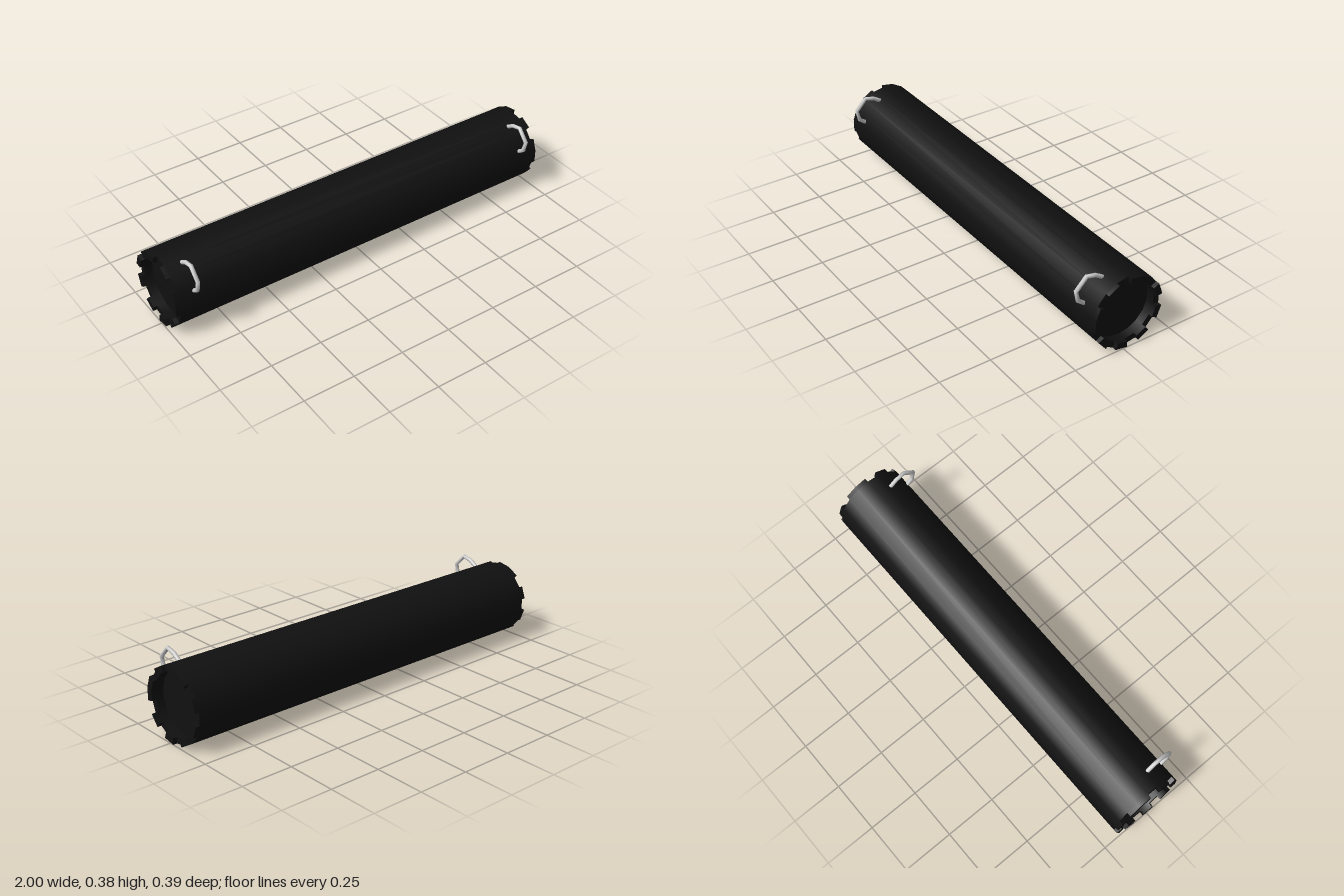
import * as THREE from 'three';

const R = 0.177, INNER = 0.147, SIDES = 18;
const NOTCH_END = 0.98, FLOOR = 0.94;
// Faces of the 18-sided rim that are cut out, by face index (20 degrees each)
const NOTCHES = new Set([2, 4, 7, 9, 11, 13, 15, 17]);
const black = new THREE.MeshStandardMaterial({ color: 0x101010, side: THREE.DoubleSide });
const grey = new THREE.MeshStandardMaterial({ color: 0xcccccc });

function add(parent, name, geometry, material) {
  const mesh = new THREE.Mesh(geometry, material);
  mesh.name = name;
  parent.add(mesh);
  return mesh;
}

// Open 18-sided wall along z
const wall = (radius, length) =>
  new THREE.CylinderGeometry(radius, radius, length, SIDES, 1, true).rotateX(Math.PI / 2);

// Rim tab covering `count` neighbouring faces, curved sides shaded smoothly
function tabGeometry(first, count) {
  const point = (r, i) => {
    const a = THREE.MathUtils.degToRad((first + i) * 20 - 10);
    return new THREE.Vector2(r * Math.cos(a), r * Math.sin(a));
  };
  const outline = [];
  for (let i = 0; i <= count; i++) outline.push(point(R, i));
  for (let i = count; i >= 0; i--) outline.push(point(INNER, i));
  const geo = new THREE.ExtrudeGeometry(new THREE.Shape(outline), { depth: 1 - NOTCH_END, bevelEnabled: false });
  const pos = geo.attributes.position, nor = geo.attributes.normal;
  const radial = new THREE.Vector3(), n = new THREE.Vector3();
  for (let i = 0; i < pos.count; i++) {
    radial.set(pos.getX(i), pos.getY(i), 0).normalize();
    n.fromBufferAttribute(nor, i);
    const d = n.dot(radial);
    if (Math.abs(d) > 0.9) nor.setXYZ(i, radial.x * Math.sign(d), radial.y * Math.sign(d), 0);
  }
  return geo;
}

// Straight segments between points, with mitred corners
class Polyline extends THREE.Curve {
  constructor(points) { super(); this.points = points; }
  getPoint(t, target = new THREE.Vector3()) {
    const last = this.points.length - 1;
    const i = Math.min(Math.floor(t * last + 1e-9), last - 1);
    return target.lerpVectors(this.points[i], this.points[i + 1], t * last - i);
  }
  getPointAt(u, target) { return this.getPoint(u, target); }
  getTangentAt(u, target) { return this.getTangent(u, target); }
}

export function createModel() {
  const model = new THREE.Group();
  model.name = 'tubeWithLoops';

  // Tube body, built along z and turned to lie along x
  const body = new THREE.Group();
  body.name = 'body';
  body.rotation.y = -Math.PI / 2;
  body.position.set(0, 0.178, -0.02);
  model.add(body);
  add(body, 'outerWall', wall(R, 2 * NOTCH_END), black);

  for (const s of [-1, 1]) {
    // Recessed end: inner wall, floor and rim
    const depth = NOTCH_END - FLOOR;
    add(body, 'recessWall', wall(INNER, depth), black).position.z = s * (FLOOR + depth / 2);
    const start = Math.PI / 18;
    const flip = s < 0 ? Math.PI : 0;
    const floor = add(body, 'recessFloor', new THREE.CircleGeometry(INNER, SIDES, start), black);
    const rim = add(body, 'rim', new THREE.RingGeometry(INNER, R, SIDES, 1, start), black);
    floor.position.z = s * FLOOR;
    rim.position.z = s * NOTCH_END;
    floor.rotation.x = rim.rotation.x = flip;

    // Tabs fill the runs of faces between notches
    for (const notch of NOTCHES) {
      let count = 0;
      while (!NOTCHES.has((notch + 1 + count) % SIDES)) count++;
      if (count) add(body, 'rimTab', tabGeometry(notch + 1, count), black).position.z = s > 0 ? NOTCH_END : -1;
    }
  }

  // Carrying loops, as (z, y) points of a bent rod
  const path = [[0.02, 0.312], [0.052, 0.334], [0.088, 0.357], [0.134, 0.368],
    [0.185, 0.314], [0.173, 0.263], [0.14, 0.238], [0.11, 0.217]]
    .map(([z, y]) => new THREE.Vector3(0, y, z));
  const loop = new THREE.TubeGeometry(new Polyline(path), path.length - 1, 0.01, 8);
  for (const x of [-0.9, 0.9]) add(model, 'loop', loop, grey).position.x = x;

  return model;
}
